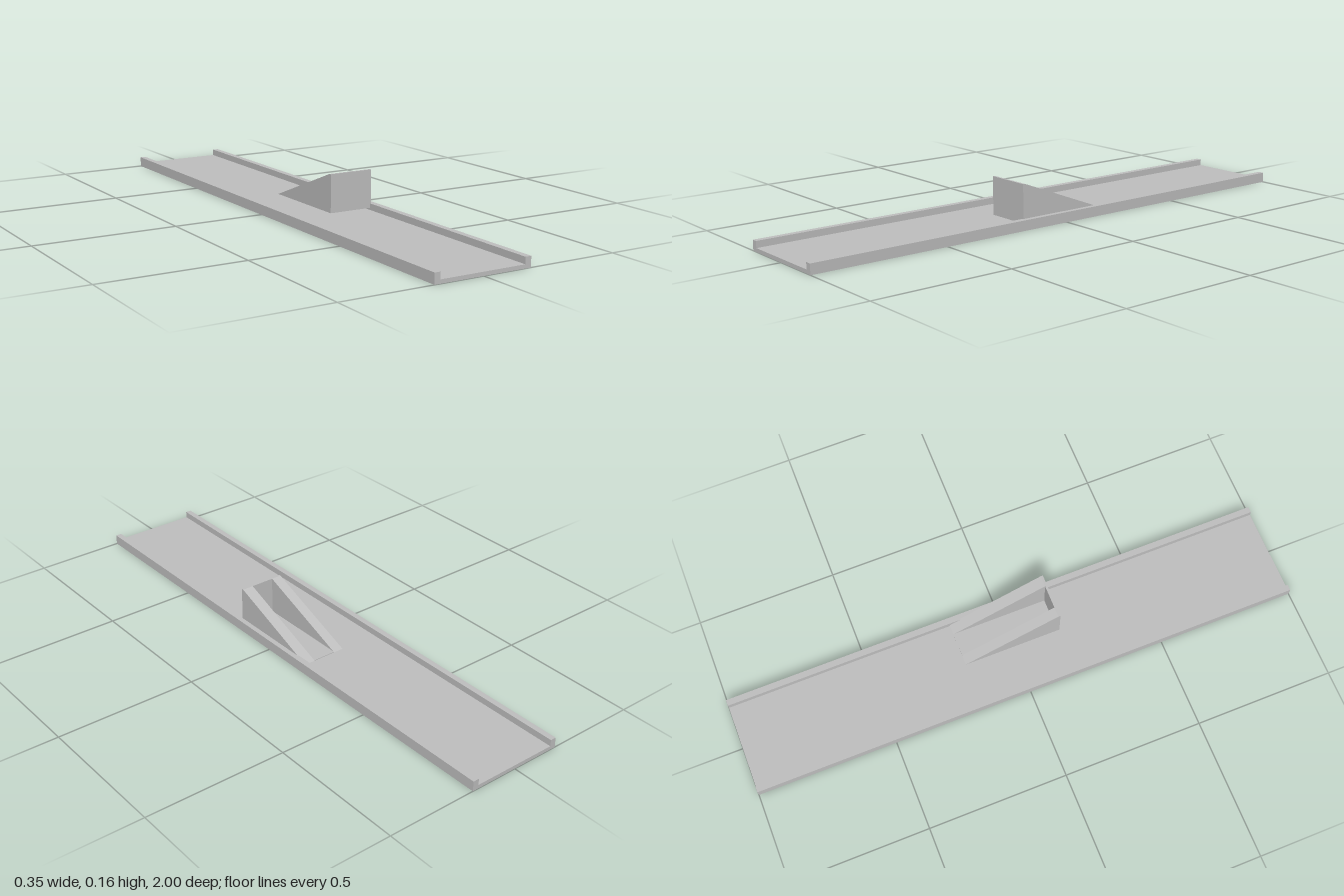
import * as THREE from 'three';

// Extrudes a closed outline without bevels
function extrude(points, depth) {
  const shape = new THREE.Shape(points.map(([x, y]) => new THREE.Vector2(x, y)));
  return new THREE.ExtrudeGeometry(shape, { depth, bevelEnabled: false });
}

export function createModel() {
  const model = new THREE.Group();
  const grey = new THREE.MeshStandardMaterial({ color: 0xc0c0c0 });
  grey.name = 'light grey';

  const add = (name, geometry, parent = model) => {
    const mesh = new THREE.Mesh(geometry, grey);
    mesh.name = name;
    parent.add(mesh);
  };
  const box = (x0, x1, y0, y1, z0, z1) =>
    new THREE.BoxGeometry(x1 - x0, y1 - y0, z1 - z0)
      .translate((x0 + x1) / 2, (y0 + y1) / 2, (z0 + z1) / 2);

  // Long shallow channel with a raised rail on each side
  const channel = extrude([
    [-0.176, 0], [0.176, 0], [0.176, 0.036], [0.154, 0.036],
    [0.154, 0.013], [-0.155, 0.013], [-0.155, 0.036], [-0.176, 0.036],
  ], 2).translate(0, 0, -1);
  add('channel', channel);

  // Ramp: two sloping ribs behind an upright wall
  const ramp = new THREE.Group();
  ramp.name = 'ramp';
  model.add(ramp);
  const left = 0.158, right = -0.005, bottom = 0.02, top = 0.155;
  const wallBack = 0.17, wallFront = 0.178, tip = -0.178;

  for (const [name, x0, x1] of [['rightRib', right, 0.032], ['leftRib', 0.117, left]]) {
    const rib = extrude([[tip, bottom], [wallBack, bottom], [wallBack, top]], x1 - x0)
      .rotateY(-Math.PI / 2).translate(x1, 0, 0);
    add(name, rib, ramp);
  }
  add('frontWall', box(right, left, bottom, top, wallBack, wallFront), ramp);

  // Thin base joining the ribs
  add('rampBase', box(0.032, 0.117, bottom, bottom + 0.002, tip, wallBack), ramp);

  return model;
}
